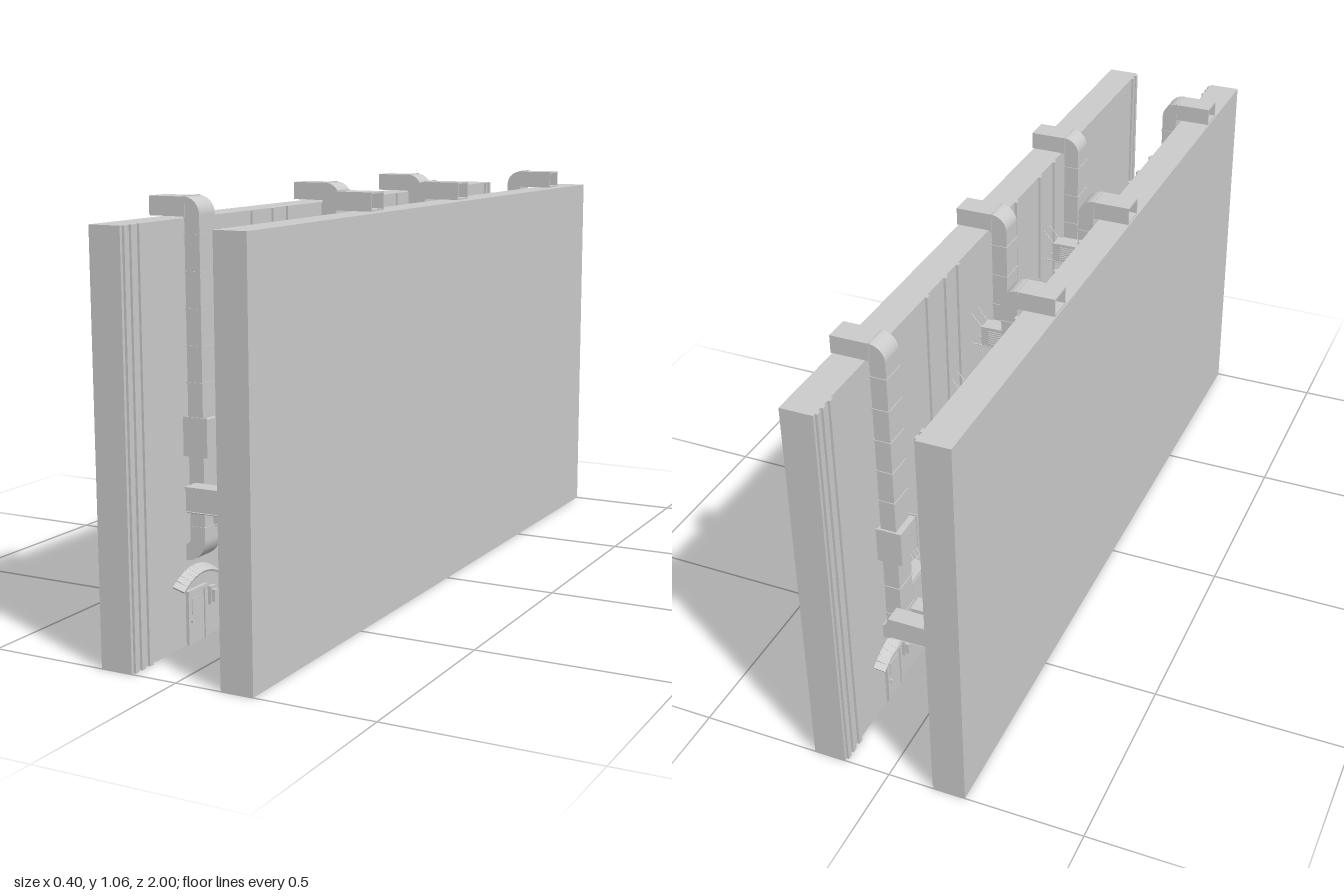
import * as THREE from 'three';

const mat = new THREE.MeshStandardMaterial({ color: 0xcccccc, side: THREE.DoubleSide, flatShading: true });
const WALL = -0.118; // inner face of the wall

function add(parent, name, geo, x = 0, y = 0, z = 0) {
  const m = new THREE.Mesh(geo, mat);
  m.name = name;
  m.position.set(x, y, z);
  parent.add(m);
  return m;
}

// box given by its min and max on each axis
function block(parent, name, x0, x1, y0, y1, z0, z1) {
  return add(parent, name, new THREE.BoxGeometry(x1 - x0, y1 - y0, z1 - z0),
    (x0 + x1) / 2, (y0 + y1) / 2, (z0 + z1) / 2);
}

// thin square bar between two points
function bar(parent, name, a, b, r = 0.0015) {
  const p = new THREE.Vector3(...a), q = new THREE.Vector3(...b);
  const m = add(parent, name, new THREE.CylinderGeometry(r, r, p.distanceTo(q), 4));
  m.position.copy(p).add(q).multiplyScalar(0.5);
  m.quaternion.setFromUnitVectors(new THREE.Vector3(0, 1, 0), q.sub(p).normalize());
}

const group = (parent, name) => {
  const g = new THREE.Group();
  g.name = name;
  parent.add(g);
  return g;
};

// vertical duct: elbow over the wall top, elbow into the wall at the foot
function verticalDuct(parent, z) {
  const g = group(parent, 'verticalDuct');
  const s = new THREE.Shape();
  s.moveTo(-0.105, 1.055);
  s.absarc(-0.105, 1.015, 0.04, Math.PI / 2, 0, true);
  s.lineTo(-0.065, 0.26);
  s.absarc(-0.118, 0.26, 0.053, 0, -Math.PI / 2, true);
  s.lineTo(-0.118, 0.247);
  s.absarc(-0.118, 0.26, 0.013, -Math.PI / 2, 0, false);
  s.lineTo(-0.105, 1.01);
  const w = 0.065;
  const geo = new THREE.ExtrudeGeometry(s, { depth: w, bevelEnabled: false, curveSegments: 8 });
  add(g, 'ductBody', geo, 0, 0, z - w / 2);
  // hollow outlet across the wall top
  const o = new THREE.Shape([[-w / 2, 0], [w / 2, 0], [w / 2, 0.045], [-w / 2, 0.045]].map(p => new THREE.Vector2(...p)));
  o.holes.push(new THREE.Path([[-0.029, 0.004], [-0.029, 0.041], [0.029, 0.041], [0.029, 0.004]].map(p => new THREE.Vector2(...p))));
  const out = add(g, 'ductOutlet', new THREE.ExtrudeGeometry(o, { depth: 0.095, bevelEnabled: false }), -0.2, 1.01, z);
  out.rotation.y = Math.PI / 2;
  block(g, 'outletFlange', -0.107, -0.104, 1.008, 1.057, z - 0.034, z + 0.034);
  for (let y = 0.29; y < 1; y += 0.085)
    block(g, 'ductJoint', -0.107, -0.063, y - 0.0015, y + 0.0015, z - 0.0345, z + 0.0345);
  junctionBox(g, z, 0.085);
}

function junctionBox(parent, z, w) {
  const g = group(parent, 'junctionBox');
  block(g, 'boxBody', -0.112, -0.05, 0.462, 0.548, z - w / 2 + 0.003, z + w / 2 - 0.003);
  for (const e of [-1, 1]) {
    const c = z + e * (w / 2 - 0.0015);
    block(g, 'boxRim', -0.113, -0.048, 0.459, 0.552, c - 0.0015, c + 0.0015);
  }
}

// duct running along the wall, turning into it at one end
function wallDuct(parent) {
  const g = group(parent, 'wallDuct');
  const s = new THREE.Shape();
  s.moveTo(-0.065, 0.49);
  s.lineTo(-0.065, -0.82);
  s.absarc(-0.118, -0.82, 0.053, 0, -Math.PI / 2, true);
  s.lineTo(-0.118, -0.833);
  s.absarc(-0.118, -0.82, 0.013, -Math.PI / 2, 0, false);
  s.lineTo(-0.105, 0.49);
  const geo = new THREE.ExtrudeGeometry(s, { depth: 0.066, bevelEnabled: false, curveSegments: 8 });
  add(g, 'ductBody', geo, 0, 0.538, 0).rotation.x = Math.PI / 2;
  for (let z = -0.82; z < 0.45; z += 0.11)
    block(g, 'ductJoint', -0.107, -0.063, 0.47, 0.54, z - 0.0015, z + 0.0015);
}

// cooling unit sticking out from the wall on a braced frame
function coolingUnit(parent, z, y) {
  const g = group(parent, 'coolingUnit');
  block(g, 'unitBody', -0.09, 0.01, y - 0.026, y + 0.027, z - 0.02, z + 0.02);
  block(g, 'unitLid', -0.075, 0.012, y + 0.024, y + 0.029, z - 0.022, z + 0.022);
  block(g, 'unitPanel', -0.012, 0.006, y - 0.02, y + 0.02, z + 0.02, z + 0.022);
  for (let i = 0; i < 7; i++)
    block(g, 'grilleSlat', -0.07, -0.016, y - 0.02 + i * 0.006, y - 0.017 + i * 0.006, z + 0.02, z + 0.0225);
  for (const e of [-0.018, 0.018]) {
    bar(g, 'frameArm', [WALL, y - 0.028, z + e], [0.008, y - 0.028, z + e], 0.002);
    bar(g, 'frameBrace', [WALL, y + 0.06, z + e], [-0.085, y + 0.02, z + e]);
  }
}

// small wall box with a ribbed sloping canopy above
function wallBox(parent, z, y, w) {
  const g = group(parent, 'wallBox');
  block(g, 'boxBody', WALL, -0.082, y, y + 0.045, z - w / 2, z + w / 2);
  block(g, 'boxFace', -0.083, -0.08, y + 0.006, y + 0.039, z - w / 2 + 0.006, z + w / 2 - 0.006);
  for (let i = 0; i <= 6; i++) {
    const c = z + (i / 6 - 0.5) * w;
    bar(g, 'canopyRib', [WALL, y + 0.1, c], [-0.1, y + 0.065, c]);
  }
  bar(g, 'canopyEdge', [-0.1, y + 0.065, z - w / 2], [-0.1, y + 0.065, z + w / 2]);
}

function door(parent, z, arched) {
  const g = group(parent, 'door');
  const h = 0.125, w = 0.035;
  block(g, 'doorLeaf', WALL, -0.114, 0, h, z - w, z + w);
  for (const e of [-1, 1])
    block(g, 'doorJamb', WALL, -0.11, 0, h, z + e * w - 0.004, z + e * w + 0.004);
  block(g, 'doorLintel', WALL, -0.108, h, h + 0.008, z - w - 0.006, z + w + 0.006);
  block(g, 'doorWindow', -0.114, -0.112, 0.07, 0.11, z - 0.02, z + 0.02);
  block(g, 'doorHandle', -0.114, -0.108, 0.052, 0.06, z + 0.02, z + 0.026);
  // lamp beside the door
  block(g, 'lampBack', WALL, -0.109, 0.075, 0.12, z - 0.075, z - 0.055);
  block(g, 'lamp', -0.109, -0.1, 0.082, 0.112, z - 0.072, z - 0.058);
  if (!arched) {
    block(g, 'flatCanopy', WALL, -0.09, 0.15, 0.156, z - 0.055, z + 0.055);
    return;
  }
  // arched awning of overlapping tilted slats
  const n = 11;
  for (let i = 0; i < n; i++) {
    const t = (i / (n - 1) - 0.5) * 2;
    const slat = add(g, 'awningSlat', new THREE.BoxGeometry(0.03, 0.005, 0.018),
      -0.105, 0.155 + 0.025 * (1 - t * t), z + t * 0.08);
    slat.rotation.set(t * 0.55, 0, -0.45, 'XYZ');
  }
}

function buildSide() {
  const side = new THREE.Group();
  block(side, 'wall', -0.2, WALL, 0, 1.005, -1, 1);
  // upright strips on the wall face
  for (const z of [-0.985, -0.96, -0.47, -0.33, -0.23, -0.07, 0.29, 0.36, 0.46, 0.93, 0.96, 0.985])
    block(side, 'wallStrip', WALL, -0.112, 0, 1.005, z - 0.007, z + 0.007);

  for (const z of [-0.41, 0.08, 0.74]) verticalDuct(side, z);
  wallDuct(side);
  junctionBox(side, -0.15, 0.05);
  junctionBox(side, 0.49, 0.08);

  const units = [[-0.91, 0.4], [-0.8, 0.345], [-0.28, 0.767], [-0.195, 0.645],
    [-0.04, 0.31], [0.2, 0.767], [0.325, 0.645], [0.4, 0.345]];
  for (const [z, y] of units) coolingUnit(side, z, y);

  for (const [z, y, w] of [[-0.62, 0.275, 0.1], [-0.15, 0.595, 0.05], [0.64, 0.275, 0.09], [0.16, 0.18, 0.08]])
    wallBox(side, z, y, w);

  door(side, -0.68, true);
  door(side, 0.015, false);
  door(side, 0.74, true);
  return side;
}

export function createModel() {
  const model = new THREE.Group();
  model.name = 'alley';
  const right = buildSide();
  right.name = 'rightSide';
  // the opposite side is the same one turned half way round
  const left = right.clone();
  left.name = 'leftSide';
  left.rotation.y = Math.PI;
  model.add(right, left);
  return model;
}
